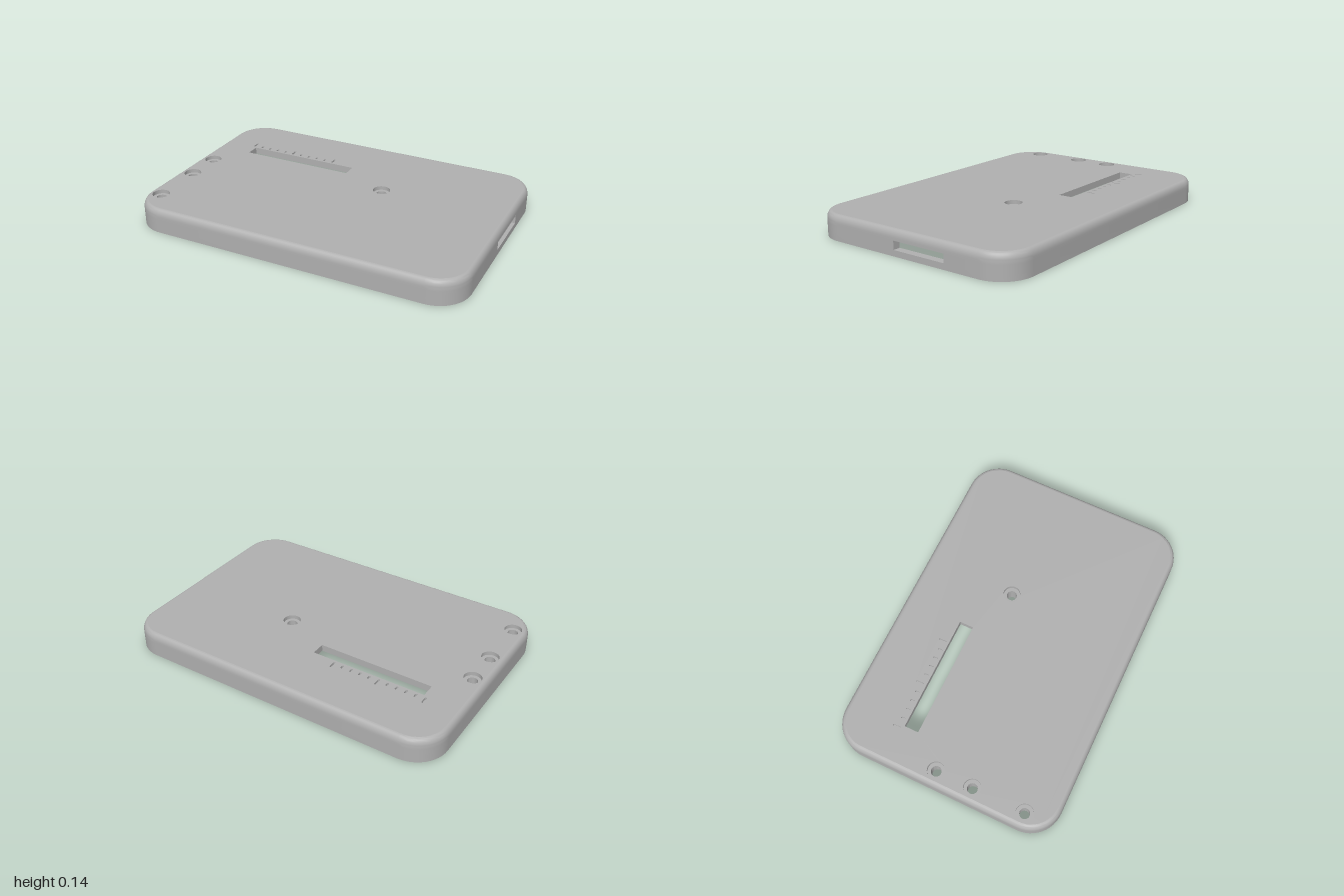
import * as THREE from 'three';
import { toCreasedNormals } from 'three/addons/utils/BufferGeometryUtils.js';

const HALF_X = 1, HALF_Z = 0.68, CORNER = 0.19;
const TOP = 0.145, CEILING = 0.105, POST_END = 0.03;
const FILLET_IN = 0.028, FILLET_H = 0.045;
const WINDOW = { z0: -0.275, z1: 0.065, y0: 0.035, y1: 0.085 };

// Rounded-rectangle loop [x, z], with two extra points at the side window
function outline(inset) {
  const pts = [], r = CORNER - inset, steps = 12;
  [[1, 1], [-1, 1], [-1, -1], [1, -1]].forEach(([sx, sz], k) => {
    for (let i = 0; i <= steps; i++) {
      const t = (k + i / steps) * Math.PI / 2;
      pts.push([sx * (HALF_X - CORNER) + r * Math.cos(t), sz * (HALF_Z - CORNER) + r * Math.sin(t)]);
    }
  });
  pts.push([HALF_X - inset, WINDOW.z0], [HALF_X - inset, WINDOW.z1]);
  return pts;
}

const rect = (x0, x1, z0, z1) => [[x1, z0], [x1, z1], [x0, z1], [x0, z0]];

function circle(x, z, r, n = 32) {
  return Array.from({ length: n }, (_, i) => {
    const t = i / n * Math.PI * 2;
    return [x + r * Math.cos(t), z + r * Math.sin(t)];
  });
}

// Upright slot with round ends
function tickLoop(x, z0, z1, r) {
  const pts = [];
  for (let i = 0; i <= 6; i++) pts.push([x + r * Math.cos(i * Math.PI / 6), z1 - r + r * Math.sin(i * Math.PI / 6)]);
  for (let i = 6; i <= 12; i++) pts.push([x + r * Math.cos(i * Math.PI / 6), z0 + r + r * Math.sin(i * Math.PI / 6)]);
  return pts;
}

// Skin closed loops, each { pts, y }, leaving out quads that skip() picks
function loft(rows, skip = () => false) {
  const pos = [], n = rows[0].pts.length;
  const at = (i, j) => [rows[i].pts[j % n][0], rows[i].y, rows[i].pts[j % n][1]];
  for (let i = 0; i < rows.length - 1; i++) {
    for (let j = 0; j < n; j++) {
      if (skip(i, j, n)) continue;
      const a = at(i, j), b = at(i, j + 1), c = at(i + 1, j + 1), d = at(i + 1, j);
      pos.push(...a, ...d, ...c, ...a, ...c, ...b);
    }
  }
  const g = new THREE.BufferGeometry();
  g.setAttribute('position', new THREE.Float32BufferAttribute(pos, 3));
  return toCreasedNormals(g, 0.6);
}

// Flat horizontal face with holes
function face(loop, holes, y, up) {
  const toVec = l => l.map(p => new THREE.Vector2(p[0], p[1]));
  const shape = new THREE.Shape(toVec(loop));
  holes.forEach(h => shape.holes.push(new THREE.Path(toVec(h))));
  const g = new THREE.ShapeGeometry(shape).rotateX(Math.PI / 2).translate(0, y, 0);
  if (up) {
    g.index.array.reverse();
    g.computeVertexNormals();
  }
  return g;
}

export function createModel() {
  const group = new THREE.Group();
  const grey = new THREE.MeshStandardMaterial({ color: 0xb0b0b0, side: THREE.DoubleSide });
  grey.name = 'plain grey';
  const add = (name, geometry) => {
    const m = new THREE.Mesh(geometry, grey);
    m.name = name;
    group.add(m);
    return m;
  };

  // Wall profile: inner wall, lip step, rim, outer wall and top fillet
  const { z0, z1, y0, y1 } = WINDOW;
  const profile = [[0.045, CEILING], [0.045, y1], [0.045, 0.04], [0.025, 0.04], [0.025, y0],
    [0.025, 0], [0, 0], [0, y0], [0, y1]];
  for (let i = 0; i <= 8; i++) {
    const t = i / 8 * Math.PI / 2;
    profile.push([FILLET_IN * (1 - Math.cos(t)), TOP - FILLET_H + FILLET_H * Math.sin(t)]);
  }
  const rows = profile.map(([inset, y]) => ({ pts: outline(inset), y }));
  const inWindow = y => y >= y0 && y <= y1;
  add('shellWall', loft(rows, (i, j, n) => j === n - 2 && inWindow(rows[i].y) && inWindow(rows[i + 1].y)));

  // Reveal around the side window
  const reveal = new THREE.Group();
  reveal.name = 'sideWindowReveal';
  const midY = (y0 + y1) / 2, midZ = (z0 + z1) / 2;
  [[midY, z0, 0], [midY, z1, Math.PI], [y0, midZ, -Math.PI / 2], [y1, midZ, Math.PI / 2]].forEach(([y, z, rot], k) => {
    const plane = new THREE.PlaneGeometry(0.045, k < 2 ? y1 - y0 : z1 - z0);
    const m = new THREE.Mesh(plane.rotateX(rot), grey);
    m.position.set(HALF_X - 0.0225, y, z);
    m.name = 'revealSide';
    reveal.add(m);
  });
  group.add(reveal);

  // Cut-outs
  const slot = rect(-0.765, -0.065, -0.32, -0.235);
  const screws = [[-0.915, -0.045], [-0.915, 0.18], [-0.915, 0.5], [0.225, -0.12]];
  const ticks = Array.from({ length: 11 }, (_, i) =>
    tickLoop(-0.785 + i * 0.057, i % 5 ? -0.362 : -0.384, -0.334, 0.006));
  const pockets = [
    rect(-0.838, 0.09, -0.154, 0.61), rect(-0.91, -0.842, -0.425, -0.14),
    circle(-0.205, -0.53, 0.045), circle(-0.67, -0.53, 0.045)];

  add('topFace', face(outline(FILLET_IN),
    [slot, ...ticks, ...screws.map(([x, z]) => circle(x, z, 0.051))], TOP, true));
  add('ceiling', face(outline(0.045),
    [slot, ...pockets, ...screws.map(([x, z]) => circle(x, z, 0.03))], CEILING, false));
  add('slotWalls', loft([{ pts: slot, y: TOP }, { pts: slot, y: CEILING }]));

  // Engraved scale marks
  ticks.forEach(t => {
    add('scaleMarkWall', loft([{ pts: t, y: TOP }, { pts: t, y: TOP - 0.015 }]));
    add('scaleMarkFloor', face(t, [], TOP - 0.015, true));
  });

  // Shallow recesses in the ceiling
  pockets.forEach(p => {
    add('recessWall', loft([{ pts: p, y: CEILING + 0.012 }, { pts: p, y: CEILING }]));
    add('recessFloor', face(p, [], CEILING + 0.012, false));
  });

  // Hollow screw posts with counterbores
  screws.forEach(([x, z]) => {
    const ring = (r, y) => ({ pts: circle(x, z, r), y });
    add('screwPost', loft([ring(0.051, TOP), ring(0.051, 0.122), ring(0.03, 0.122),
      ring(0.03, POST_END), ring(0.051, POST_END), ring(0.051, CEILING)]));
  });

  // Locating pins
  [[0.778, 0.133], [0.637, -0.278], [0.378, -0.274]].forEach(([x, z]) => {
    const h = CEILING - POST_END;
    add('locatingPin', new THREE.CylinderGeometry(0.023, 0.023, h, 24)).position.set(x, POST_END + h / 2, z);
  });

  return group;
}
